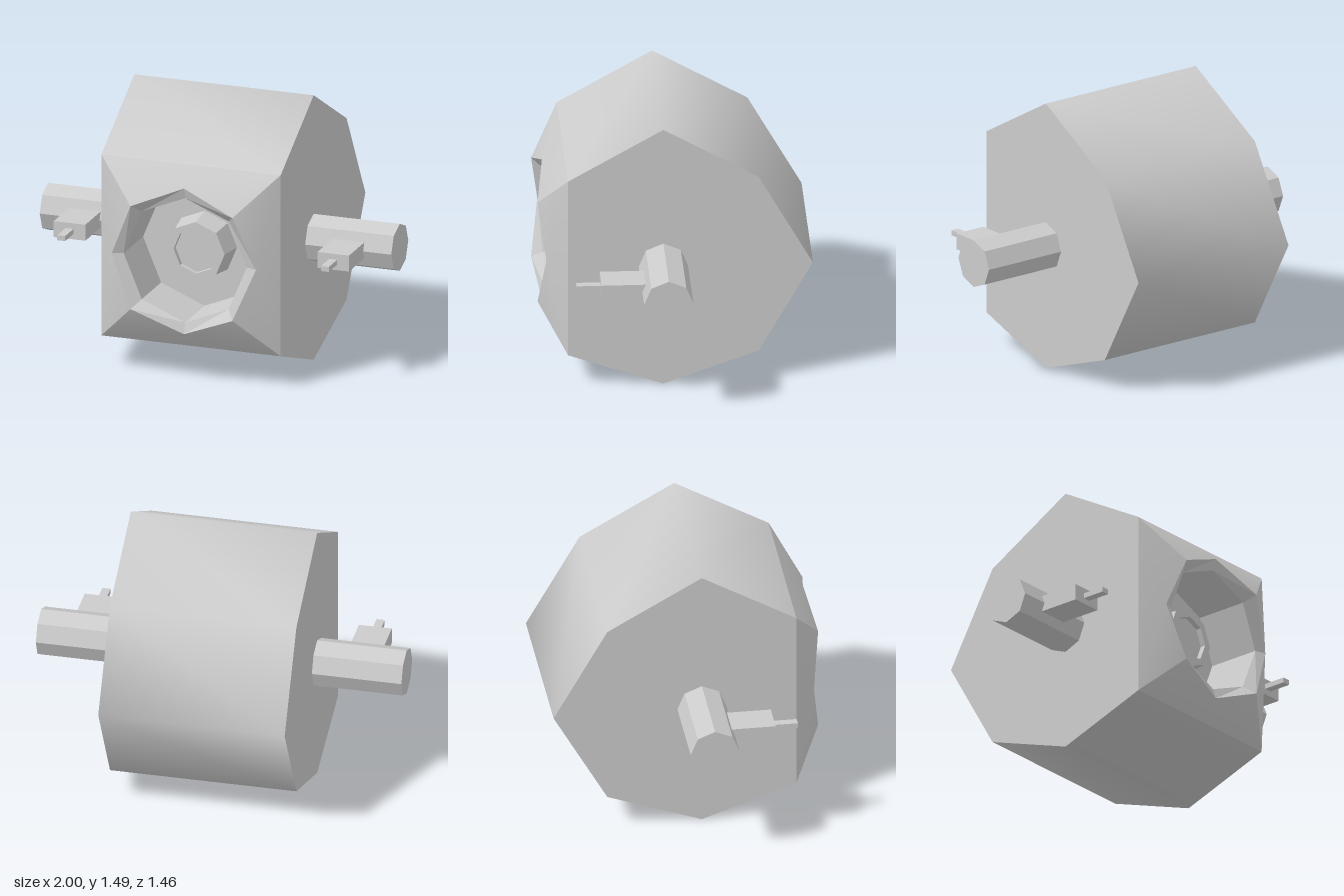
import * as THREE from 'three';
import { toCreasedNormals } from 'three/addons/utils/BufferGeometryUtils.js';

const CY = 0.69;   // height of the socket and arm axis
const HALF = 0.51; // half width of the body
const material = new THREE.MeshStandardMaterial({ color: 0xcccccc });

// Non-indexed geometry from a list of corner points, three per face
function fromTriangles(points, crease = 0.1) {
  const geometry = new THREE.BufferGeometry();
  geometry.setAttribute('position', new THREE.Float32BufferAttribute(points.flat(), 3));
  return toCreasedNormals(geometry, crease);
}

// Band of faces between two equally long rows of points
function band(a, b, closed = true) {
  const out = [];
  const n = a.length;
  for (let i = 0; i < (closed ? n : n - 1); i++) {
    const j = (i + 1) % n;
    out.push(a[i], a[j], b[j], a[i], b[j], b[i]);
  }
  return out;
}

function fan(ring) {
  const out = [];
  for (let i = 1; i < ring.length - 1; i++) out.push(ring[0], ring[i], ring[i + 1]);
  return out;
}

// Octagon facing +z; even corners are on the axes, odd ones diagonal
function octagon(r, z, zDiagonal = z) {
  return Array.from({ length: 8 }, (_, i) => {
    const a = (i * Math.PI) / 4;
    return [r * Math.cos(a), CY + r * Math.sin(a), i % 2 ? zDiagonal : z];
  });
}

export function createModel() {
  const model = new THREE.Group();
  const add = (name, geometry, parent = model) => {
    const mesh = new THREE.Mesh(geometry, material);
    mesh.name = name;
    parent.add(mesh);
    return mesh;
  };

  // Body shell: side profile (z, y), open at the front
  const profile = [[0.58, 1.2], [0.07, 1.49], [-0.44, 1.2], [-0.73, CY],
    [-0.44, 0.18], [0.07, 0], [0.58, 0.18]];
  const left = profile.map(([z, y]) => [HALF, y, z]);
  const right = profile.map(([z, y]) => [-HALF, y, z]);
  add('bodyShell', fromTriangles([
    ...band(left, right, false), ...fan([...left].reverse()), ...fan(right),
  ], 1.1));

  // Front panels rising from the square front opening to the octagonal rim
  const rim = octagon(0.41, 0.69, 0.73);
  const corners = [[1, 1], [-1, 1], [-1, -1], [1, -1]]
    .map(([x, y]) => [x * HALF, CY + y * 0.51, 0.58]);
  const panels = [];
  corners.forEach((c, i) => {
    const next = corners[(i + 1) % 4];
    const d = rim[2 * i + 1];
    const mid = rim[(2 * i + 2) % 8];
    const dNext = rim[(2 * i + 3) % 8];
    panels.push(c, next, mid, c, mid, d, next, dNext, mid);
  });
  add('frontPanels', fromTriangles(panels, 0.45));

  // Bevelled rim and deep socket
  const lip = octagon(0.35, 0.67);
  const floor = octagon(0.35, 0.37);
  const barrelBase = octagon(0.185, 0.37);
  add('socketRim', fromTriangles(band(rim, lip)));
  add('socket', fromTriangles([...band(lip, floor), ...band(floor, barrelBase)]));

  // Tapered barrel with a shallow recess in its end
  const rings = [barrelBase, octagon(0.165, 0.51), octagon(0.125, 0.51), octagon(0.125, 0.48)];
  const barrel = fan(rings[3]);
  for (let i = 0; i < 3; i++) barrel.push(...band(rings[i], rings[i + 1]));
  add('barrel', fromTriangles(barrel));

  // Side arms, each with a forward block and a thin muzzle
  for (const side of [1, -1]) {
    const arm = new THREE.Group();
    arm.name = side > 0 ? 'leftArm' : 'rightArm';
    model.add(arm);
    const shaft = new THREE.CylinderGeometry(0.132, 0.132, 0.49, 8).rotateZ(Math.PI / 2);
    add('armShaft', toCreasedNormals(shaft, 0.3), arm).position.set(side * 0.755, CY, 0.07);
    add('gunBlock', new THREE.BoxGeometry(0.18, 0.09, 0.26), arm).position.set(side * 0.75, CY, 0.29);
    add('gunMuzzle', new THREE.BoxGeometry(0.045, 0.028, 0.14), arm).position.set(side * 0.75, CY, 0.48);
  }
  return model;
}
